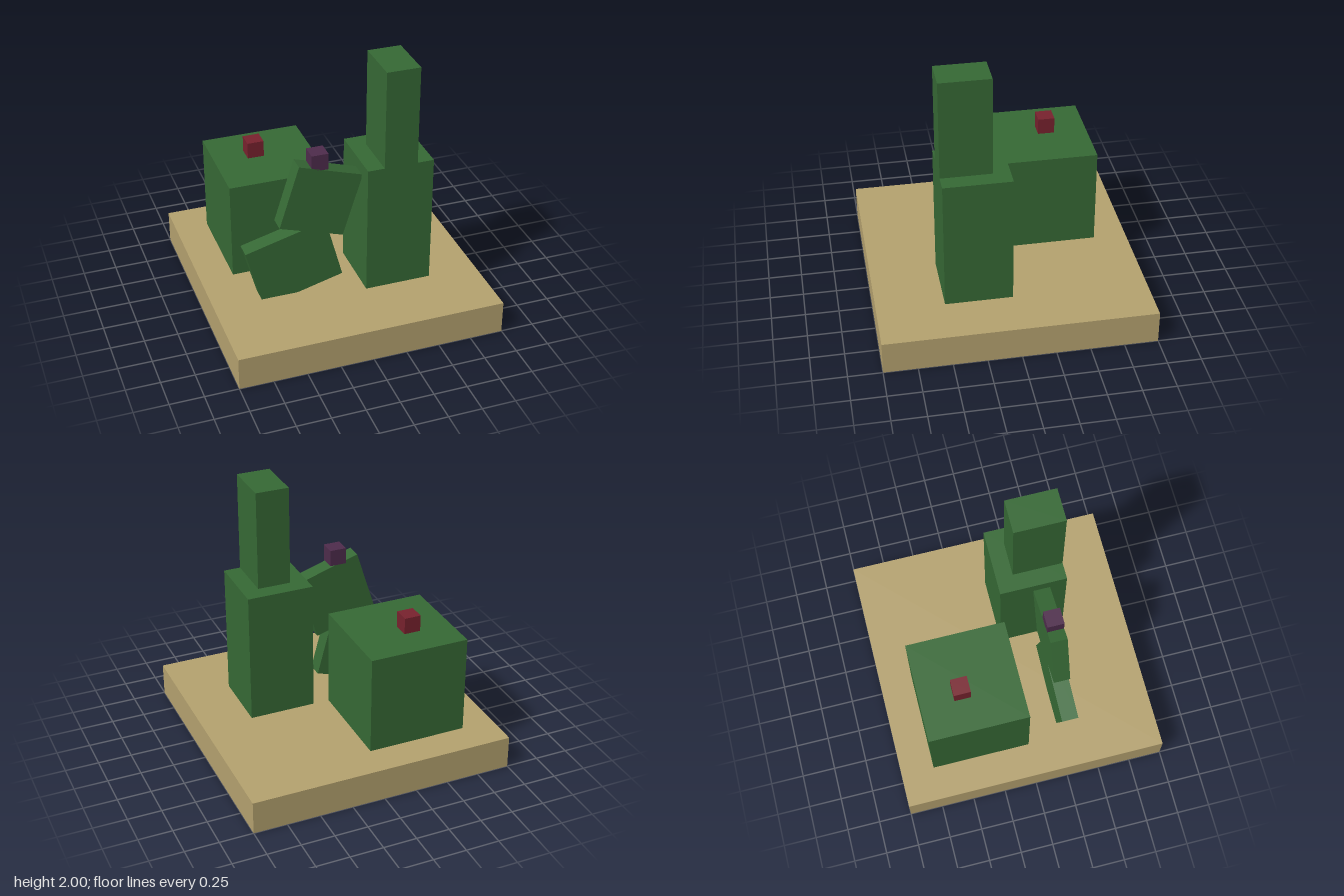
import * as THREE from 'three';

export function createModel() {
  const model = new THREE.Group();
  const mat = (name, color) => {
    const m = new THREE.MeshStandardMaterial({ color });
    m.name = name;
    return m;
  };
  const sand = mat('sand', 0xb5a26f);
  sand.side = THREE.DoubleSide; // the base is an open shell
  const green = mat('green', 0x366935);
  const red = mat('dark red', 0x78222e);
  const purple = mat('dark purple', 0x4e2c4c);

  // Box given by its size and centre, optionally tilted about z
  function box(name, material, size, centre, tilt = 0) {
    const mesh = new THREE.Mesh(new THREE.BoxGeometry(...size), material);
    mesh.name = name;
    mesh.position.set(...centre);
    mesh.rotation.z = THREE.MathUtils.degToRad(tilt);
    model.add(mesh);
    return mesh;
  }

  // Base slab: top and four walls, open underneath
  const base = box('base', sand, [2, 0.25, 2], [0, 0.125, 0]);
  const index = Array.from(base.geometry.index.array);
  index.splice(18, 6); // drop the bottom face
  base.geometry.setIndex(index);
  base.geometry.clearGroups();

  // Wide block at the back with its small cube
  box('backBlock', green, [0.75, 0.75, 0.75], [-0.375, 0.625, -0.375]);
  box('backBlockCube', red, [0.125, 0.125, 0.125], [-0.4375, 1.0625, -0.4375]);

  // Stepped tower
  box('towerLower', green, [0.5, 1, 0.5], [0.375, 0.75, 0.25]);
  box('towerUpper', green, [0.25, 0.75, 0.375], [0.375, 1.625, 0.3125]);

  // Two tilted slabs, the lower one sunk through the base
  box('tiltedSlabLower', green, [0.625, 0.5, 0.125], [-0.385, 0.503, 0.3125], 15);
  box('tiltedSlabUpper', green, [0.5, 0.5, 0.125], [-0.18, 0.992, 0.3125], -17.5);
  box('tiltedSlabCube', purple, [0.125, 0.125, 0.125], [-0.1875, 1.3125, 0.3125]);

  return model;
}
